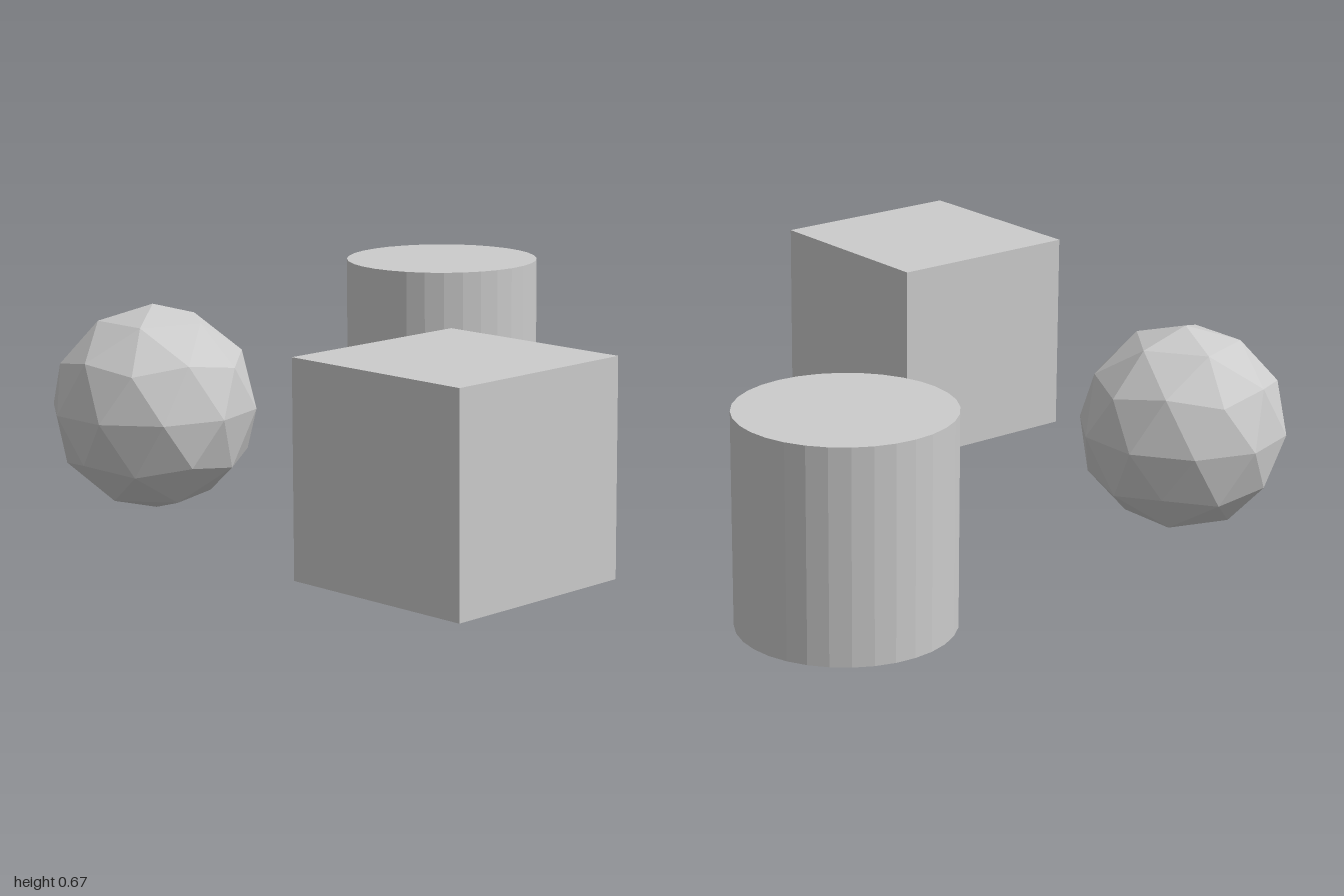
import * as THREE from 'three';

const SIZE = 2 / 3; // width, depth and height of every solid
const R = SIZE / 2;

export function createModel() {
  const model = new THREE.Group();
  const material = new THREE.MeshStandardMaterial({ color: 0xcccccc, flatShading: true });

  // Each solid sits in one corner of the square layout, centred at half height
  function addSolid(name, geometry, x, z) {
    const mesh = new THREE.Mesh(geometry, material);
    mesh.name = name;
    mesh.position.set(x * SIZE, R, z * SIZE);
    model.add(mesh);
  }

  addSolid('cube', new THREE.BoxGeometry(SIZE, SIZE, SIZE), -1, 1);
  addSolid('cylinder', new THREE.CylinderGeometry(R, R, SIZE, 32), 1, -1);

  // Once-divided icosahedron, turned so one of its corners points straight up
  const golden = (1 + Math.sqrt(5)) / 2;
  const ball = new THREE.IcosahedronGeometry(R, 1).rotateZ(-Math.atan(1 / golden));
  addSolid('facetedBall', ball, -1, -1);

  return model;
}
